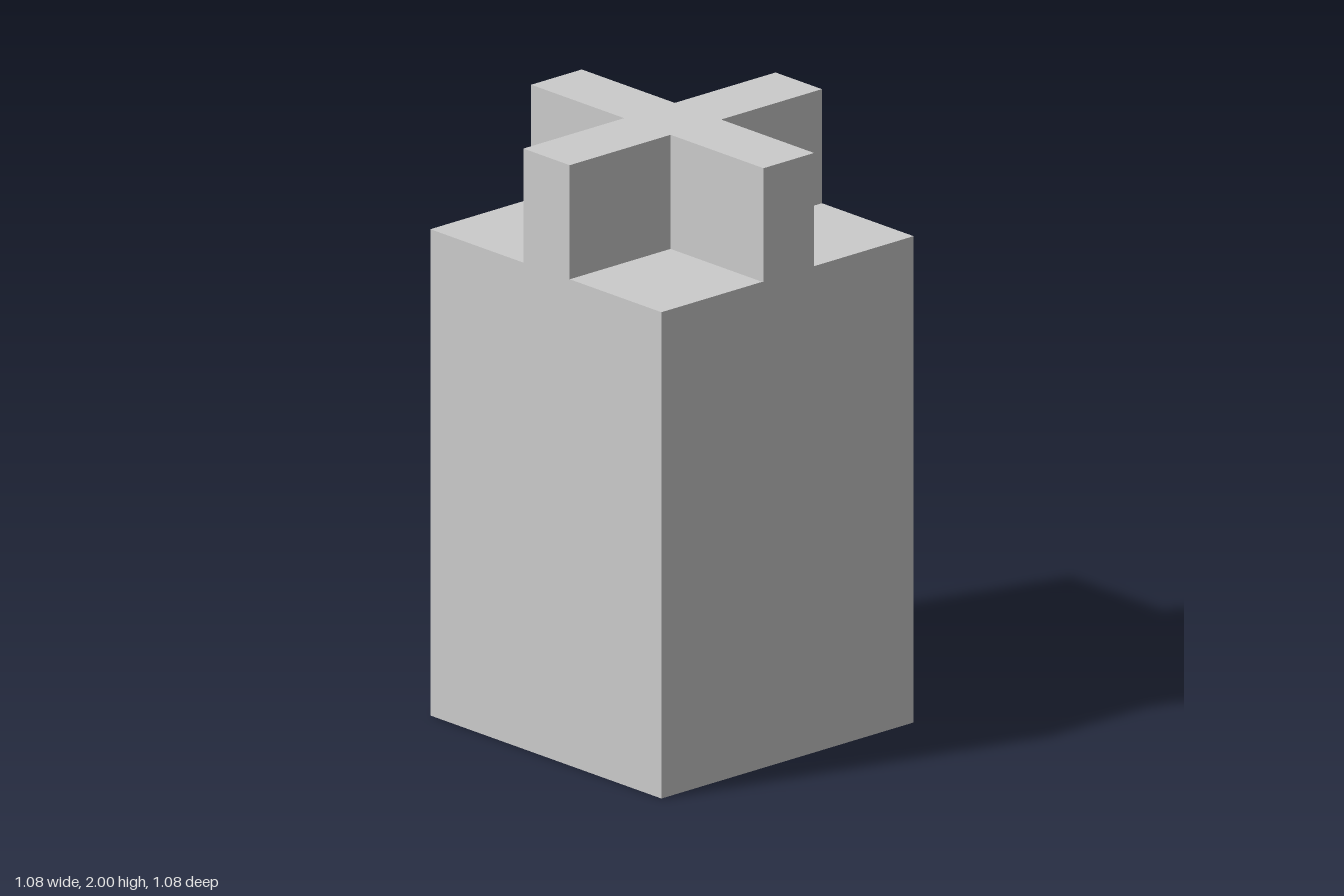
import * as THREE from 'three';

export function createModel() {
  const model = new THREE.Group();
  const material = new THREE.MeshStandardMaterial({ color: 0xcccccc, flatShading: true });
  const bodyTop = 1.62, height = 2;

  // Tall square block
  const body = new THREE.Mesh(new THREE.BoxGeometry(1.076, bodyTop, 1.076), material);
  body.name = 'body';
  body.position.set(-0.003, bodyTop / 2, 0);
  model.add(body);

  // Raised cross on top, its right arm reaching slightly past the block
  const w = 0.108, left = -0.541, right = 0.541, end = 0.538;
  const outline = [
    [-w, -end], [w, -end], [w, -w], [right, -w], [right, w], [w, w],
    [w, end], [-w, end], [-w, w], [left, w], [left, -w], [-w, -w],
  ].map(([x, y]) => new THREE.Vector2(x, y));
  const crossGeometry = new THREE.ExtrudeGeometry(new THREE.Shape(outline), {
    depth: height - bodyTop, bevelEnabled: false,
  });
  crossGeometry.rotateX(-Math.PI / 2);
  const cross = new THREE.Mesh(crossGeometry, material);
  cross.name = 'topCross';
  cross.position.y = bodyTop;
  model.add(cross);

  return model;
}
